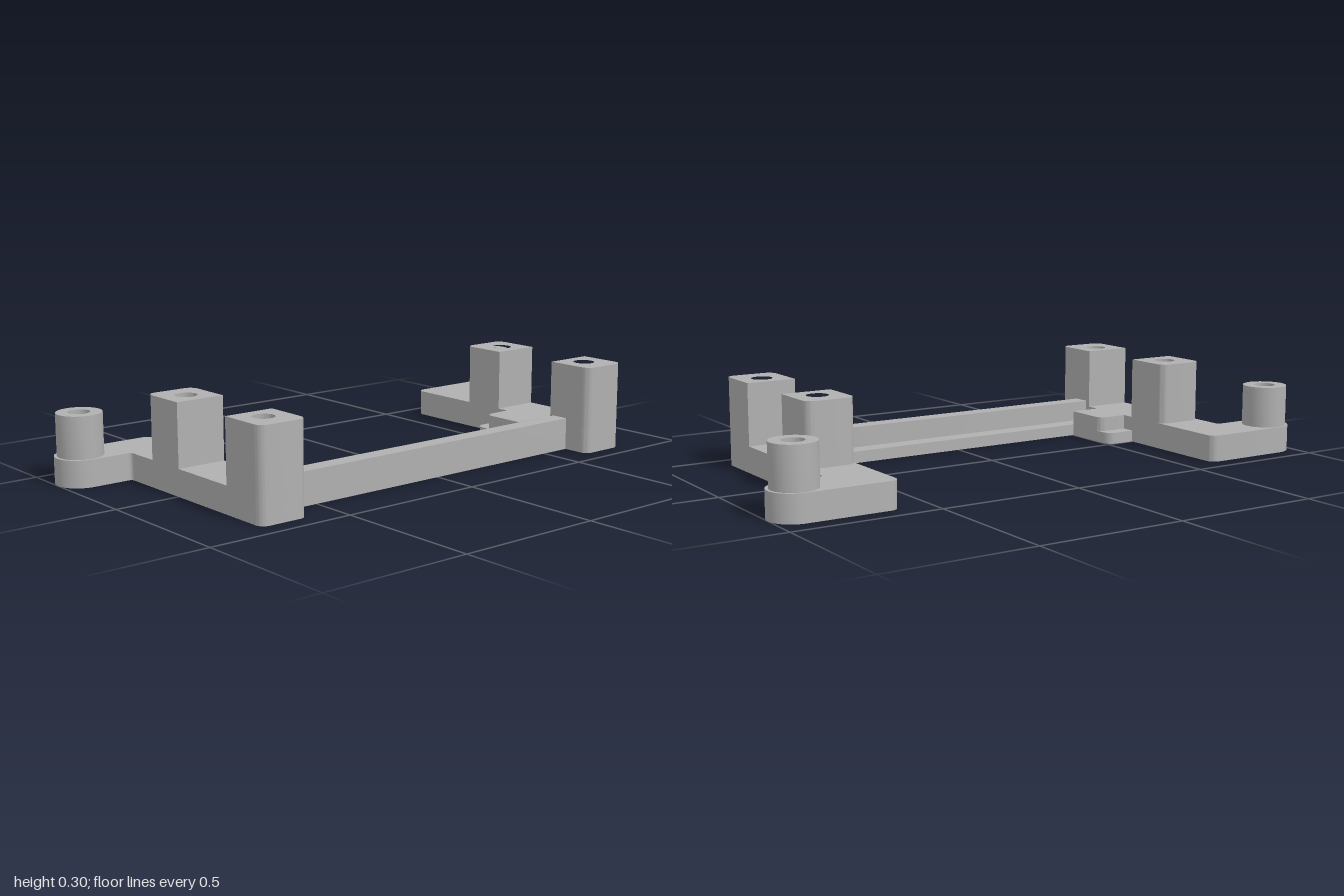
import * as THREE from 'three';
import { toCreasedNormals } from 'three/addons/utils/BufferGeometryUtils.js';

const plastic = new THREE.MeshStandardMaterial({ color: 0xb0b0b0 });
plastic.name = 'grey plastic';

// Closed outline from [x, z, cornerRadius] points; side = -1 mirrors it in x
function outline(points, side = 1) {
  const shape = new THREE.Shape();
  const corners = points.map(([x, z]) => new THREE.Vector2(side * x, -z));
  const n = corners.length;
  corners.forEach((c, i) => {
    const r = points[i][2] || 0;
    const toward = (other, d) => c.clone().add(other.clone().sub(c).setLength(d));
    const prev = corners[(i + n - 1) % n], next = corners[(i + 1) % n];
    const a = r ? toward(prev, r) : c;
    if (i === 0) shape.moveTo(a.x, a.y);
    else shape.lineTo(a.x, a.y);
    if (r) {
      const b = toward(next, r), k = r * 0.448;
      const c1 = toward(prev, k), c2 = toward(next, k);
      shape.bezierCurveTo(c1.x, c1.y, c2.x, c2.y, b.x, b.y);
    }
  });
  shape.closePath();
  return shape;
}

function roundHole(x, z, r) {
  return new THREE.Path().absarc(x, -z, r, 0, Math.PI * 2, true);
}

function hexHole(x, z, r) {
  const points = [];
  for (let i = 0; i < 6; i++) {
    const a = (i * Math.PI) / 3;
    points.push(new THREE.Vector2(x + r * Math.cos(a), -z + r * Math.sin(a)));
  }
  return new THREE.Path(points);
}

// Upright slab of a plan shape between two heights
function slab(name, shape, y0, y1) {
  const geo = new THREE.ExtrudeGeometry(shape, { depth: y1 - y0, bevelEnabled: false, curveSegments: 12 });
  geo.rotateX(-Math.PI / 2).translate(0, y0, 0);
  const mesh = new THREE.Mesh(toCreasedNormals(geo, 0.5), plastic);
  mesh.name = name;
  return mesh;
}

const BASE = 0.09, POST = 0.3, BOSS = 0.23, LEDGE = 0.04, RAIL = 0.11;
const POST_X = 0.693, POST_Z = [0.337, -0.072], BOSS_X = 0.915, BOSS_Z = -0.355, HOLE = 0.036;

function bracket(side) {
  const group = new THREE.Group();
  group.name = side > 0 ? 'leftBracket' : 'rightBracket';

  // Base arm with rounded foot, inner tab and nut pockets underneath
  const base = outline([
    [0.608, -0.437, 0.03], [1, -0.437, 0.083], [1, -0.271, 0.083], [0.778, -0.271, 0.012],
    [0.778, 0.437, 0.03], [0.608, 0.437, 0.03], [0.608, 0.213], [0.5, 0.213],
    [0.5, 0.05, 0.03], [0.608, 0.05],
  ], side);
  for (const z of POST_Z) base.holes.push(hexHole(side * POST_X, z, 0.066));
  base.holes.push(roundHole(side * BOSS_X, BOSS_Z, HOLE));
  group.add(slab('baseArm', base, 0, BASE));

  // Low lip behind the inner tab
  const lip = outline([[0.5, 0, 0.035], [0.608, 0], [0.608, 0.21], [0.5, 0.21]], side);
  group.add(slab('tabLip', lip, 0, LEDGE));

  // Front and rear screw posts
  const front = outline([[0.608, 0.263], [0.778, 0.263], [0.778, 0.437, 0.03], [0.608, 0.437, 0.03]], side);
  const rear = outline([[0.608, -0.166, 0.03], [0.778, -0.166, 0.03], [0.778, 0.006], [0.608, 0.006]], side);
  [front, rear].forEach((shape, i) => {
    shape.holes.push(roundHole(side * POST_X, POST_Z[i], HOLE));
    group.add(slab(i ? 'rearPost' : 'frontPost', shape, BASE, POST));
  });

  // Round boss on the foot
  const boss = new THREE.Shape().absarc(side * BOSS_X, -BOSS_Z, 0.075, 0, Math.PI * 2, false);
  boss.holes.push(roundHole(side * BOSS_X, BOSS_Z, HOLE));
  group.add(slab('footBoss', boss, BASE, BOSS));
  return group;
}

export function createModel() {
  const model = new THREE.Group();
  model.name = 'mountingFrame';
  model.add(bracket(1), bracket(-1));

  // Cross rail: tall front strip with a low ledge behind it
  const strip = outline([[-0.615, 0.28, 0.012], [0.615, 0.28, 0.012], [0.615, 0.34, 0.012], [-0.615, 0.34, 0.012]]);
  const ledge = outline([[-0.61, 0.215], [0.61, 0.215], [0.61, 0.285], [-0.61, 0.285]]);
  model.add(slab('railStrip', strip, 0, RAIL), slab('railLedge', ledge, 0, LEDGE));
  return model;
}
